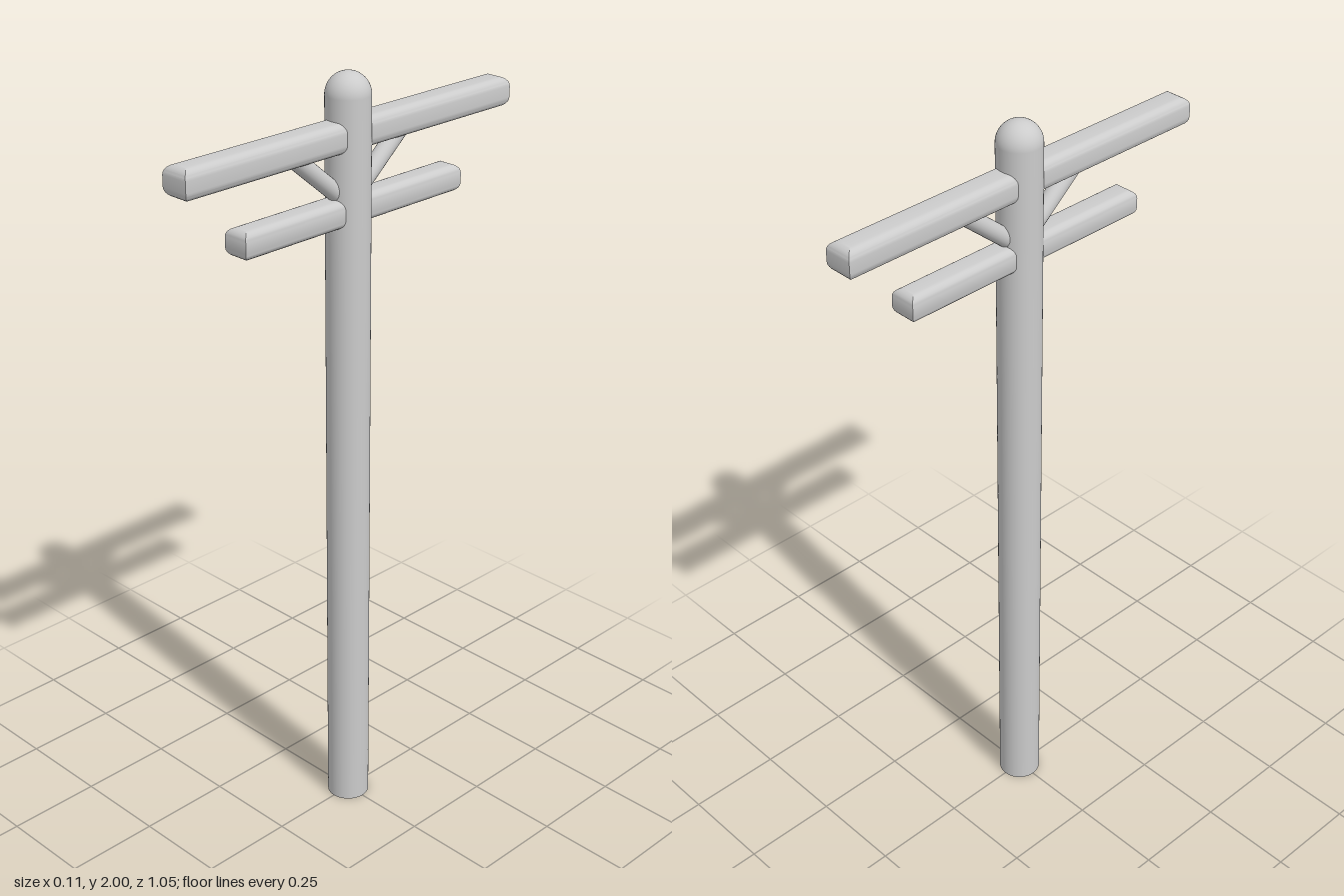
import * as THREE from 'three';
import { toCreasedNormals } from 'three/addons/utils/BufferGeometryUtils.js';

const material = new THREE.MeshStandardMaterial({ color: 0xcccccc });

// Beam along z with rounded top and bottom edges and sharp vertical corners
function beam(name, size, zBack, zFront, y, round) {
  const x = size / 2 - round;
  const shape = new THREE.Shape([
    new THREE.Vector2(-x, -zFront + round),
    new THREE.Vector2(x, -zFront + round),
    new THREE.Vector2(x, -zBack - round),
    new THREE.Vector2(-x, -zBack - round),
  ]);
  const geometry = new THREE.ExtrudeGeometry(shape, {
    depth: size - 2 * round,
    bevelSize: round,
    bevelThickness: round,
    bevelSegments: 6,
  });
  geometry.translate(0, 0, -(size / 2 - round)).rotateX(-Math.PI / 2);
  const mesh = new THREE.Mesh(toCreasedNormals(geometry, 0.5), material);
  mesh.name = name;
  mesh.position.y = y;
  return mesh;
}

// Round rod between two points
function rod(name, from, to, radius) {
  const direction = to.clone().sub(from);
  const mesh = new THREE.Mesh(new THREE.CylinderGeometry(radius, radius, direction.length(), 24), material);
  mesh.name = name;
  mesh.position.copy(from).lerp(to, 0.5);
  mesh.quaternion.setFromUnitVectors(new THREE.Vector3(0, 1, 0), direction.normalize());
  return mesh;
}

export function createModel() {
  const model = new THREE.Group();
  model.name = 'utilityPole';
  const radius = 0.055;
  const height = 2;

  // Round post with a domed top
  const shaftHeight = height - radius;
  const post = new THREE.Mesh(new THREE.CylinderGeometry(radius, radius, shaftHeight, 48), material);
  post.name = 'post';
  post.position.y = shaftHeight / 2;
  const dome = new THREE.Mesh(
    new THREE.SphereGeometry(radius, 48, 16, 0, Math.PI * 2, 0, Math.PI / 2), material);
  dome.name = 'domedTop';
  dome.position.y = shaftHeight;
  model.add(post, dome);

  // Long upper and short lower cross-arms
  model.add(beam('upperCrossArm', 0.076, -0.527, 0.527, 1.853, 0.024));
  model.add(beam('lowerCrossArm', 0.07, -0.357, 0.357, 1.67, 0.022));

  // Diagonal braces under the upper arm
  for (const side of [1, -1]) {
    model.add(rod(side > 0 ? 'frontBrace' : 'backBrace',
      new THREE.Vector3(0, 1.7, side * 0.02),
      new THREE.Vector3(0, 1.835, side * 0.18), 0.022));
  }
  return model;
}
